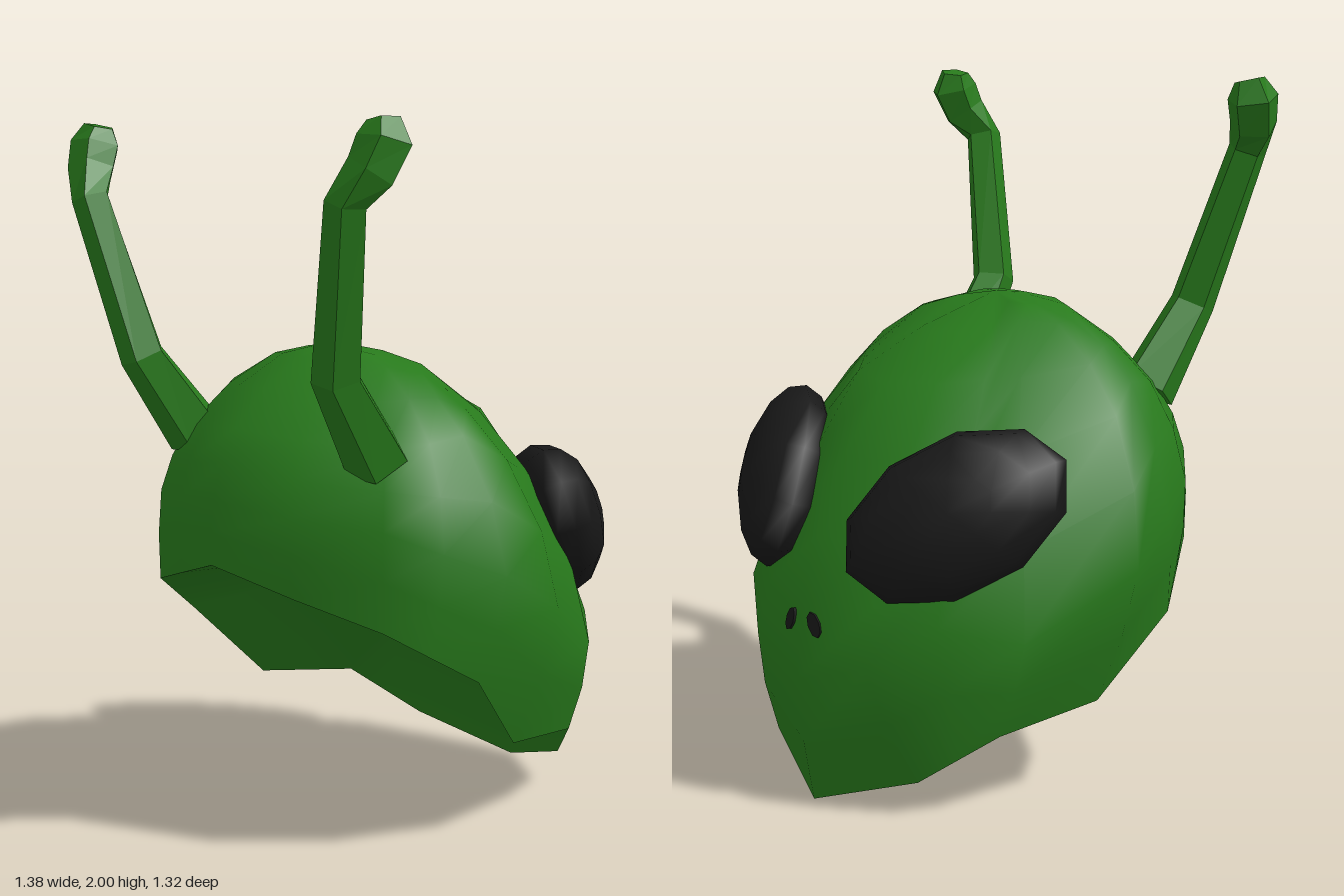
import * as THREE from 'three';

const V = (x, y, z) => new THREE.Vector3(x, y, z);
const POLE = [0, 1.378, 0.12];
const ROWS = 8;

// Half-head meridians from the nape round the +x side to the chin, each running from rim to crown
const MERIDIANS = [
  [[0, 0.8, 0.62], [0, 0.98, 0.61], [0, 1.17, 0.53], [0, 1.35, 0.3]],
  [[0.24, 0.73, 0.535], [0.23, 0.95, 0.545], [0.21, 1.15, 0.47], [0.1, 1.352, 0.27]],
  [[0.48, 0.66, 0.43], [0.475, 0.93, 0.425], [0.41, 1.13, 0.36], [0.19, 1.345, 0.22]],
  [[0.545, 0.585, 0.315], [0.58, 0.87, 0.305], [0.48, 1.15, 0.26], [0.24, 1.333, 0.19]],
  [[0.61, 0.51, 0.2], [0.655, 0.8, 0.14], [0.5, 1.165, 0.15], [0.28, 1.318, 0.14]],
  [[0.54, 0.28, -0.02], [0.69, 0.69, -0.03], [0.55, 1.09, 0.03], [0.28, 1.312, 0.09]],
  [[0.47, 0.24, -0.34], [0.55, 0.52, -0.33], [0.42, 1, -0.22], [0.2, 1.325, 0.01]],
  [[0.385, 0.17, -0.415], [0.39, 0.56, -0.5], [0.33, 0.87, -0.36], [0.25, 1.18, -0.18]],
  [[0.3, 0.1, -0.49], [0.23, 0.44, -0.615], [0.2, 0.76, -0.5], [0.16, 1.17, -0.28]],
  [[0, 0, -0.61], [0, 0.37, -0.665], [0, 0.76, -0.59], [0, 1.16, -0.33]],
];

function buildGeometry(points, index) {
  const g = new THREE.BufferGeometry().setFromPoints(points);
  g.setIndex(index);
  g.computeVertexNormals();
  return g;
}

// Every meridian sampled to the same number of points, then mirrored to close the loop
function headColumns() {
  const half = MERIDIANS.map((m) => {
    const curve = new THREE.CatmullRomCurve3([...m, POLE].map((p) => V(...p)));
    return Array.from({ length: ROWS }, (_, i) => curve.getPoint(i / ROWS));
  });
  const mirrored = half.slice(1, -1).reverse().map((c) => c.map((p) => V(-p.x, p.y, p.z)));
  return [...half, ...mirrored];
}

function skullGeometry(cols) {
  const points = [...cols.flat(), V(...POLE)];
  const index = [];
  cols.forEach((_, j) => {
    const a = j * ROWS, b = ((j + 1) % cols.length) * ROWS;
    for (let i = 0; i < ROWS - 1; i++) {
      index.push(a + i, b + i, b + i + 1, a + i, b + i + 1, a + i + 1);
    }
    index.push(a + ROWS - 1, b + ROWS - 1, points.length - 1);
  });
  return buildGeometry(points, index);
}

// Hollowed base: a fan from the rim to a point inside the head
function undersideGeometry(cols) {
  const n = cols.length, index = [];
  for (let j = 0; j < n; j++) index.push(n, (j + 1) % n, j);
  return buildGeometry([...cols.map((c) => c[0]), V(0, 0.75, -0.22)], index);
}

// Five-sided bent stalk with a swollen tip
function antennaGeometry(side) {
  const path = [
    [0.383, 1.1, 0.357, 0.09], [0.41, 1.34, 0.53, 0.068], [0.535, 1.79, 0.61, 0.057],
    [0.585, 1.865, 0.57, 0.07], [0.602, 1.94, 0.54, 0.075], [0.592, 1.993, 0.535, 0.045],
  ];
  const centres = path.map(([x, y, z]) => V(side * x, y, z));
  const n = 5, last = path.length - 1, points = [], index = [];
  centres.forEach((c, k) => {
    const t = centres[Math.min(k + 1, last)].clone().sub(centres[Math.max(k - 1, 0)]).normalize();
    const u = t.clone().cross(V(1, 0, 0)).normalize();
    const v = t.clone().cross(u);
    for (let s = 0; s < n; s++) {
      const a = (s / n) * Math.PI * 2, r = path[k][3];
      points.push(c.clone().addScaledVector(u, r * Math.cos(a)).addScaledVector(v, r * Math.sin(a)));
      const p = k * n + s, q = k * n + ((s + 1) % n);
      if (k < last) index.push(p, q, q + n, p, q + n, p + n);
    }
  });
  for (let s = 1; s < n - 1; s++) {
    index.push(0, s + 1, s, last * n, last * n + s, last * n + s + 1);
  }
  return buildGeometry(points, index);
}

export function createModel() {
  const skin = new THREE.MeshStandardMaterial({ color: 0x287a1c, name: 'green skin' });
  const stalk = skin.clone();
  stalk.flatShading = true;
  const black = new THREE.MeshStandardMaterial({ color: 0x181818, name: 'black' });

  const group = new THREE.Group();
  group.name = 'alienHead';
  const add = (name, geometry, material) => {
    const mesh = new THREE.Mesh(geometry, material);
    mesh.name = name;
    group.add(mesh);
    return mesh;
  };

  const cols = headColumns();
  const skull = add('skull', skullGeometry(cols), skin);
  add('underside', undersideGeometry(cols), skin);

  for (const side of [1, -1]) {
    const label = side > 0 ? 'left' : 'right';
    add(label + 'Antenna', antennaGeometry(side), stalk);

    // Eye: a half-sunk ellipsoid, slanting outwards and up
    const along = V(side * 0.62, 0.46, 0.63).normalize();
    const out = V(side * 0.55, 0.31, -0.77).normalize();
    const eye = add(label + 'Eye', new THREE.SphereGeometry(1, 10, 8), black);
    eye.scale.set(0.335, 0.135, 0.215);
    eye.quaternion.setFromRotationMatrix(
      new THREE.Matrix4().makeBasis(along, out, along.clone().cross(out)));
    eye.position.set(side * 0.353, 0.85, -0.395);

    // Nostril: a thin oval plate laid on the face
    const ray = new THREE.Raycaster(V(side * 0.045, 0.53, -2), V(0, 0, 1));
    const hit = ray.intersectObject(skull)[0];
    const plate = new THREE.CylinderGeometry(1, 1, 0.009, 8).rotateX(Math.PI / 2);
    plate.scale(0.019, 0.037, 1).rotateZ(side * 0.4);
    const nostril = add(label + 'Nostril', plate, black);
    nostril.position.copy(hit.point).addScaledVector(hit.face.normal, 0.003);
    const zAxis = hit.face.normal.clone().negate();
    const xAxis = V(0, 1, 0).cross(zAxis).normalize();
    nostril.quaternion.setFromRotationMatrix(
      new THREE.Matrix4().makeBasis(xAxis, zAxis.clone().cross(xAxis), zAxis));
  }
  return group;
}
